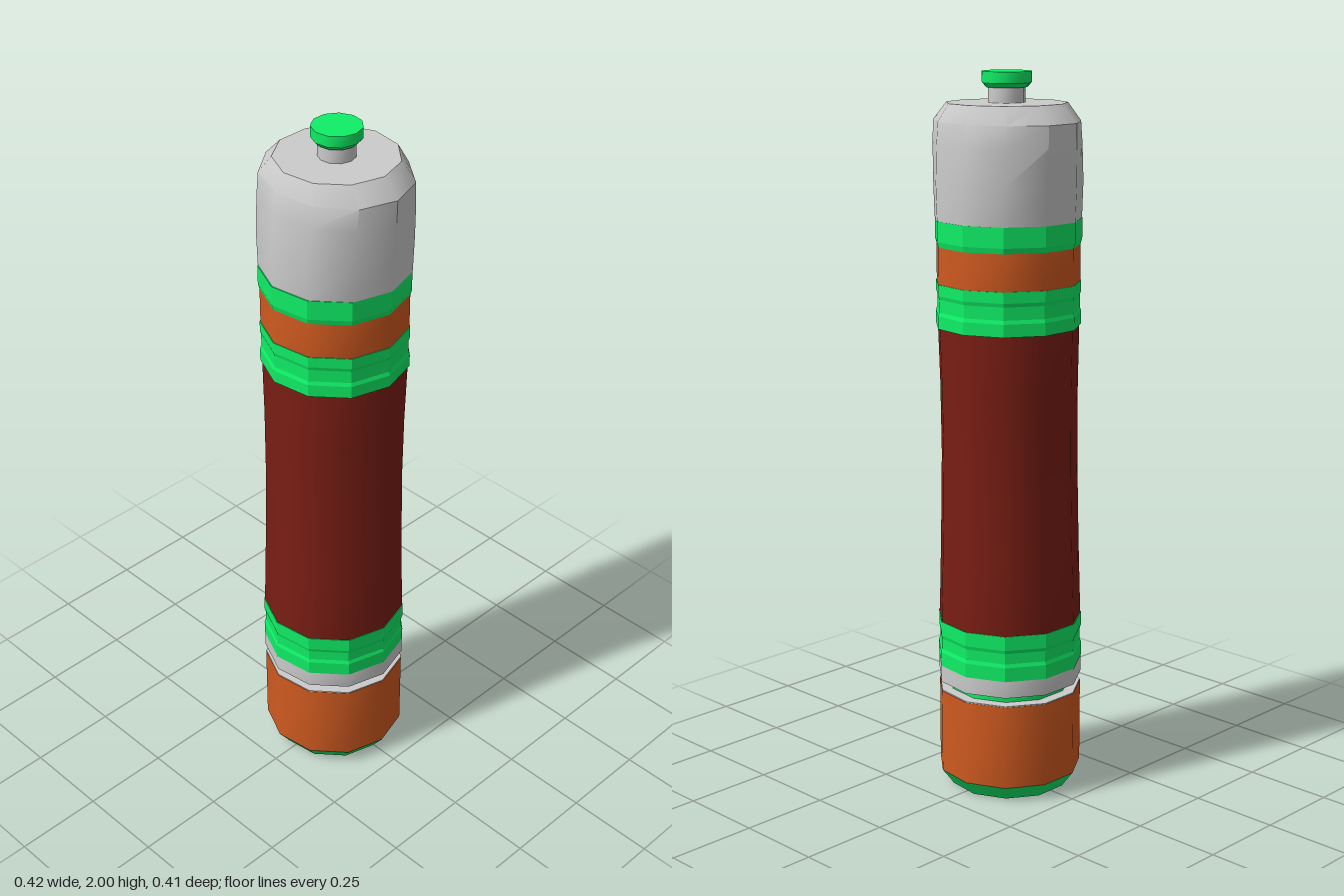
import * as THREE from 'three';
import { toCreasedNormals } from 'three/addons/utils/BufferGeometryUtils.js';

const SIDES = 11;
const GREY = new THREE.MeshStandardMaterial({ color: 0xcccccc });
const GREEN = new THREE.MeshStandardMaterial({ color: 0x10ee66 });
const ORANGE = new THREE.MeshStandardMaterial({ color: 0xd05a20 });
const MAROON = new THREE.MeshStandardMaterial({ color: 0x7a1e14 });

// Closed eleven-sided loft; each row is [y, radius x, radius z, centre x, centre z]
function loft(rows, crease) {
  const pos = [], index = [];
  const add = (x, y, z) => pos.push(x, y, z);
  for (const [y, rx, rz, cx, cz] of rows) {
    for (let i = 0; i < SIDES; i++) {
      const a = (i / SIDES) * Math.PI * 2;
      add(cx + rx * Math.cos(a), y, cz + rz * Math.sin(a));
    }
  }
  const last = rows.length - 1, bottom = rows.length * SIDES, top = bottom + 1;
  add(rows[0][3], rows[0][0], rows[0][4]);
  add(rows[last][3], rows[last][0], rows[last][4]);
  for (let i = 0; i < SIDES; i++) {
    const j = (i + 1) % SIDES;
    for (let r = 0; r < last; r++) {
      const b = r * SIDES, t = b + SIDES;
      index.push(b + i, t + i, b + j, t + i, t + j, b + j);
    }
    index.push(bottom, i, j, top, last * SIDES + j, last * SIDES + i);
  }
  const g = new THREE.BufferGeometry();
  g.setAttribute('position', new THREE.Float32BufferAttribute(pos, 3));
  g.setIndex(index);
  return toCreasedNormals(g, crease);
}

export function createModel() {
  const model = new THREE.Group();
  model.name = 'cylinderDevice';
  const part = (name, material, rows, crease = 0.7) => {
    const mesh = new THREE.Mesh(loft(rows, crease), material);
    mesh.name = name;
    model.add(mesh);
  };
  // Row shorthand for a round section
  const ring = (y, r, cz = 0, cx = -0.004) => [y, r, r, cx, cz];

  // Foot with bevelled base
  part('base', GREEN, [ring(0, 0.17), ring(0.012, 0.178), ring(0.045, 0.203)]);
  part('footSleeve', ORANGE, [ring(0.045, 0.203), ring(0.284, 0.203)]);
  part('footRim', GREY, [ring(0.284, 0.202), ring(0.287, 0.202)]);
  part('neck', GREEN, [ring(0.285, 0.17), ring(0.315, 0.17)]);

  // Lower collar
  part('lowerCollar', GREY, [ring(0.312, 0.204), ring(0.36, 0.204)]);
  part('lowerBand', GREEN, [
    ring(0.36, 0.205), ring(0.4, 0.205), ring(0.41, 0.201), ring(0.44, 0.201),
    ring(0.45, 0.204), ring(0.49, 0.204),
  ], 0.2);

  // Slightly waisted body, leaning back towards the top
  part('body', MAROON, [
    ring(0.49, 0.202, 0), ring(0.7, 0.196, -0.001), ring(0.95, 0.191, -0.002),
    ring(1.15, 0.192, -0.004), ring(1.32, 0.196, -0.006),
  ]);

  // Upper bands
  part('upperBand', GREEN, [
    ring(1.32, 0.201, -0.006), ring(1.355, 0.201, -0.006), ring(1.365, 0.197, -0.006),
    ring(1.4, 0.197, -0.006), ring(1.41, 0.2, -0.006), ring(1.44, 0.2, -0.006),
  ], 0.2);
  part('upperSleeve', ORANGE, [ring(1.44, 0.198, -0.006), ring(1.54, 0.198, -0.006)]);
  part('topBand', GREEN, [
    ring(1.54, 0.198, -0.006), ring(1.555, 0.202, -0.006), ring(1.61, 0.202, -0.006),
  ], 0.2);

  // Shoulder cap, growing wider and shallower towards the bevel
  part('cap', GREY, [
    [1.61, 0.203, 0.2, -0.004, -0.007],
    [1.71, 0.207, 0.202, -0.005, -0.008],
    [1.81, 0.211, 0.194, -0.005, -0.01],
    [1.87, 0.212, 0.186, -0.005, -0.011],
    [1.918, 0.165, 0.163, -0.005, -0.012],
  ], 0.6);

  // Push button
  part('buttonStem', GREY, [ring(1.91, 0.05, -0.011), ring(1.962, 0.05, -0.011)]);
  part('button', GREEN, [
    ring(1.958, 0.056, -0.011), ring(1.97, 0.067, -0.011), ring(2, 0.067, -0.011),
  ]);
  return model;
}
